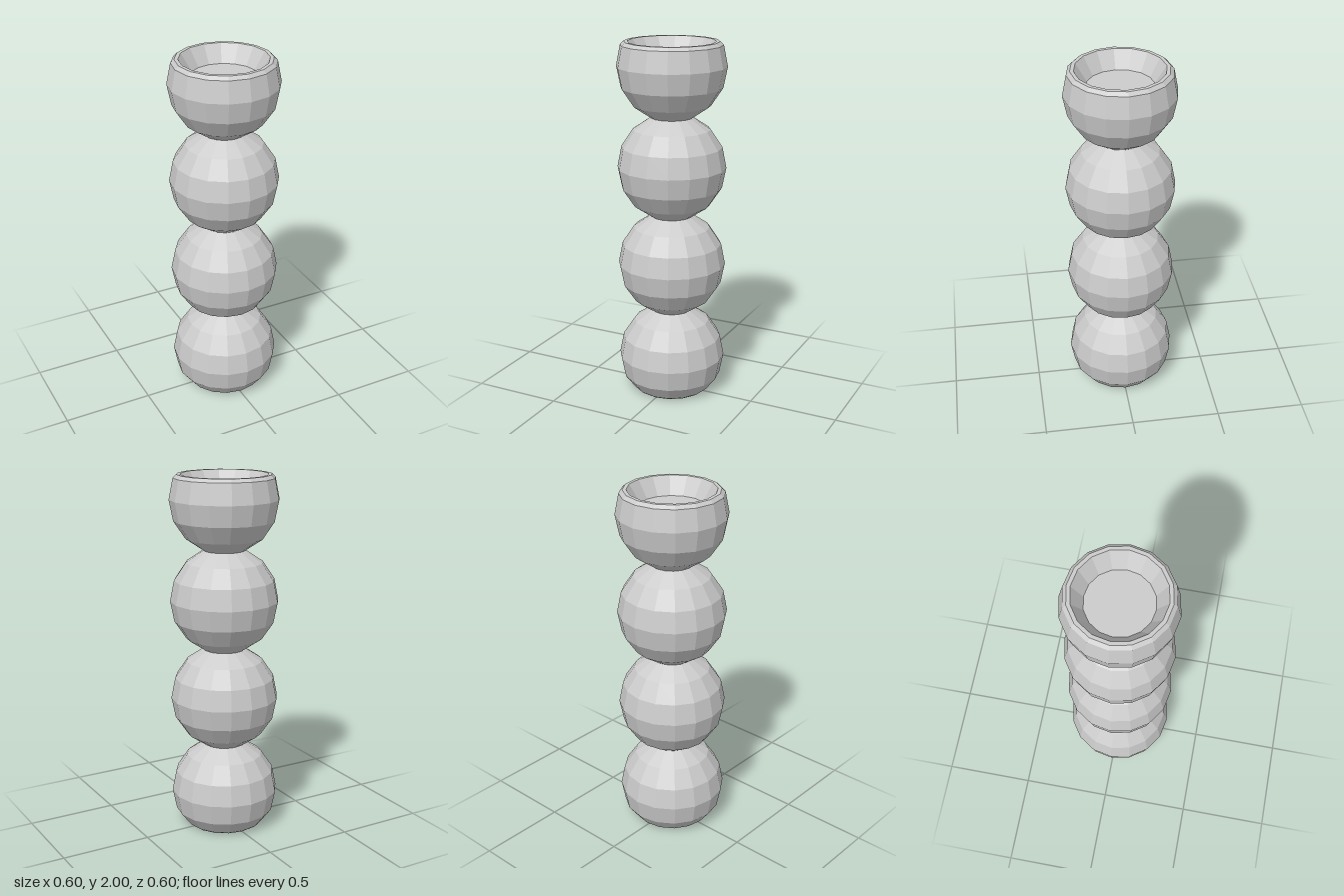
import * as THREE from 'three';

const SIDES = 16;
const R = 0.3;
const STEP = Math.PI / 8;
const SPACING = 2 * R * Math.sin(3 * STEP); // beads meet at their narrow necks
const FIRST = 0.204; // height of the lowest bead's equator

const material = new THREE.MeshStandardMaterial({ color: 0xcccccc, flatShading: true });

// Sphere outline around height cy, from ring a to ring b (0 is the equator)
function arc(cy, a, b) {
  const points = [];
  for (let i = a; i <= b; i++) points.push([R * Math.cos(i * STEP), cy + R * Math.sin(i * STEP)]);
  return points;
}

function turned(name, profile) {
  const points = profile.map(([r, y]) => new THREE.Vector2(r, y));
  const mesh = new THREE.Mesh(new THREE.LatheGeometry(points, SIDES), material);
  mesh.name = name;
  return mesh;
}

export function createModel() {
  const group = new THREE.Group();
  group.name = 'beadedColumn';

  // Bottom bead, cut flat with a small bevel at the foot
  group.add(turned('baseBead', [[0, 0], [0.2, 0], [0.221, 0.015], ...arc(FIRST, -1, 3)]));

  // Full beads
  group.add(turned('lowerBead', arc(FIRST + SPACING, -3, 3)));
  group.add(turned('upperBead', arc(FIRST + 2 * SPACING, -3, 3)));

  // Top bead, cut open as a shallow cup with a flat rim
  group.add(turned('cupBead', [
    ...arc(FIRST + 3 * SPACING, -3, 1),
    [0.258, 2], [0.238, 2], [0.178, 1.905], [0, 1.905],
  ]));

  return group;
}
